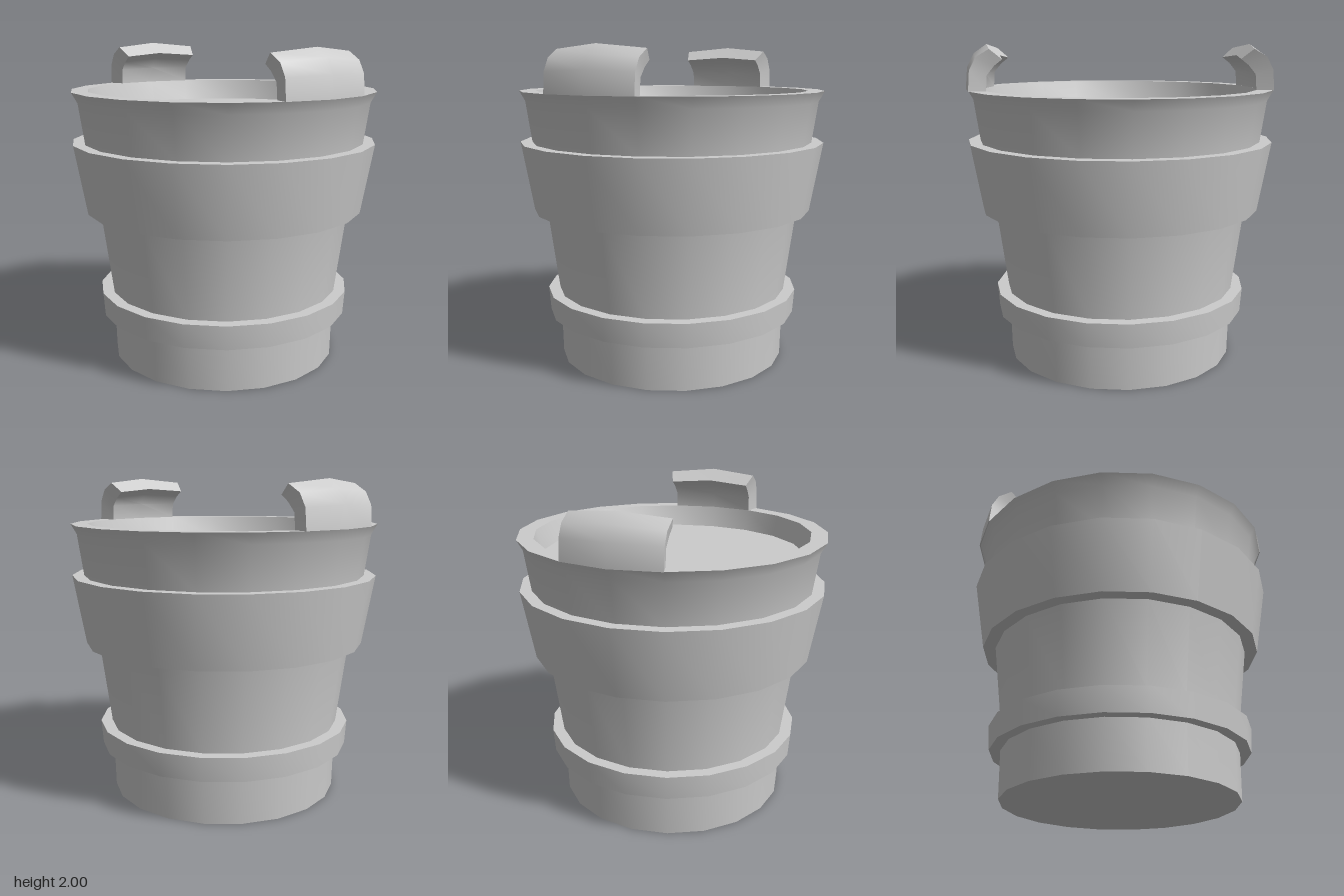
import * as THREE from 'three';
import { toCreasedNormals } from 'three/addons/utils/BufferGeometryUtils.js';

const SIDES = 20;
const CREASE = 0.65;

function addMesh(group, name, geometry) {
  const material = new THREE.MeshStandardMaterial({ color: 0xcccccc });
  const mesh = new THREE.Mesh(toCreasedNormals(geometry, CREASE), material);
  mesh.name = name;
  group.add(mesh);
  return mesh;
}

// Turned part from [radius, height] pairs
function turned(profile) {
  return new THREE.LatheGeometry(profile.map(([r, y]) => new THREE.Vector2(r, y)), SIDES);
}

// Curled ear: one C-shaped outline at the middle, another at both ends, joined in loops.
// Each outline goes up the outside and down the inside as [x, y, half width].
function earGeometry() {
  const middle = [
    [0.97, 1.725], [0.957, 1.86], [0.912, 1.945], [0.833, 2.0],
    [0.75, 1.93], [0.805, 1.89], [0.85, 1.825], [0.86, 1.725],
  ];
  const end = [
    [0.92, 1.725, 0.298], [0.91, 1.85, 0.298], [0.87, 1.925, 0.298], [0.79, 1.973, 0.298],
    [0.717, 1.912, 0.268], [0.765, 1.875, 0.268], [0.81, 1.82, 0.268], [0.818, 1.725, 0.268],
  ];
  const n = middle.length;
  const positions = [];
  end.forEach(([x, y, w]) => positions.push(x, y, -w));
  middle.forEach(([x, y]) => positions.push(x, y, 0));
  end.forEach(([x, y, w]) => positions.push(x, y, w));

  const index = [];
  const quad = (a, b, c, d) => index.push(a, b, c, a, c, d);
  for (let k = 0; k < 2; k++) {
    for (let j = 0; j < n; j++) {
      const next = (j + 1) % n;
      quad(k * n + j, k * n + next, (k + 1) * n + next, (k + 1) * n + j);
    }
  }
  // End caps
  for (let i = 0; i < n / 2 - 1; i++) {
    const f = 2 * n;
    quad(f + i, f + i + 1, f + n - 2 - i, f + n - 1 - i);
    quad(n - 1 - i, n - 2 - i, i + 1, i);
  }
  const geometry = new THREE.BufferGeometry();
  geometry.setAttribute('position', new THREE.Float32BufferAttribute(positions, 3));
  geometry.setIndex(index);
  return geometry;
}

export function createModel() {
  const group = new THREE.Group();
  group.name = 'bucket';

  // Tapered body with flared rim and a shallow recessed top
  addMesh(group, 'body', turned([
    [0, 0], [0.728, 0], [0.735, 0.3], [0.742, 0.45], [0.81, 0.97], [0.89, 1.4],
    [0.927, 1.66], [0.963, 1.725], [0.86, 1.725], [0.825, 1.59], [0, 1.59],
  ]));

  // Hoops around the body
  addMesh(group, 'lowerHoop', turned([
    [0.72, 0.295], [0.804, 0.295], [0.815, 0.445], [0.73, 0.445],
  ]));
  addMesh(group, 'upperHoop', turned([
    [0.79, 0.97], [0.889, 0.97], [0.965, 1.405], [0.87, 1.405],
  ]));

  // Ears on opposite sides of the rim
  addMesh(group, 'leftEar', earGeometry());
  addMesh(group, 'rightEar', earGeometry()).rotation.y = Math.PI;

  return group;
}
